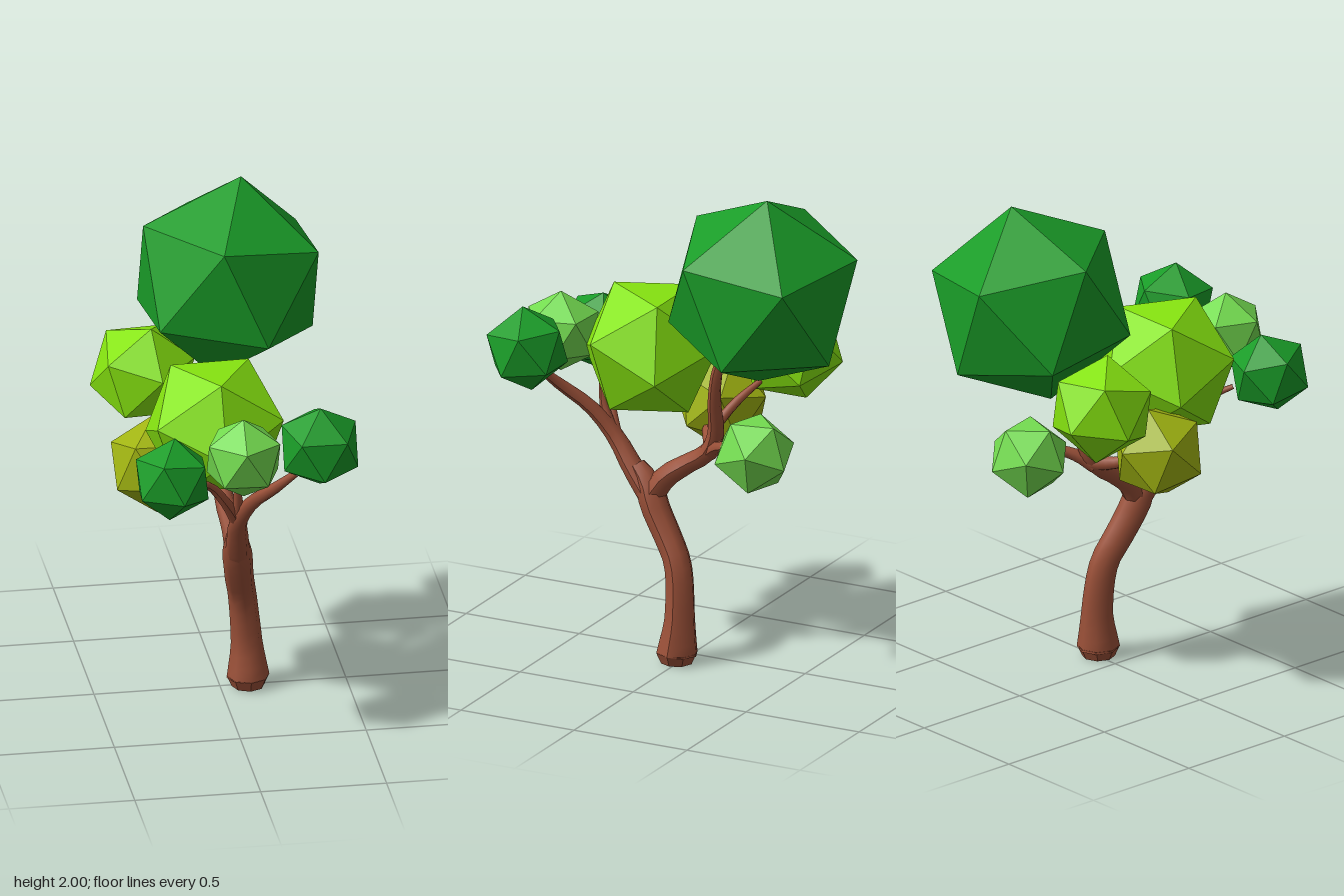
import * as THREE from 'three';

const V = (p) => new THREE.Vector3(...p);
const paint = (color, flatShading) => new THREE.MeshStandardMaterial({ color, flatShading });
const bark = paint(0x9a5038, false);
const dark = paint(0x1a9c28, true);
const lime = paint(0x86e410, true);
const olive = paint(0xa0b412, true);
const light = paint(0x74dc50, true);

// Orthonormal basis whose first axis is a and whose second leans towards b
function basis(a, b) {
  const x = a.clone().normalize();
  const y = b.clone().addScaledVector(x, -b.dot(x)).normalize();
  return new THREE.Matrix4().makeBasis(x, y, x.clone().cross(y));
}

// Icosahedral leaf clump, turned so two neighbouring corners point along a and b
function clump(name, material, centre, radius, a, b) {
  const t = (1 + Math.sqrt(5)) / 2;
  const turn = basis(V(a), V(b)).multiply(basis(V([-1, t, 0]), V([1, t, 0])).transpose());
  const geometry = new THREE.IcosahedronGeometry(radius, 0).applyMatrix4(turn);
  const mesh = new THREE.Mesh(geometry, material);
  mesh.position.set(...centre);
  mesh.name = name;
  return mesh;
}

// Tube along a smooth path whose radius follows an evenly spaced list
function limb(name, points, radii, segments = 12, sides = 8) {
  const curve = new THREE.CatmullRomCurve3(points.map(V));
  const geometry = new THREE.TubeGeometry(curve, segments, 1, sides, false);
  const pos = geometry.attributes.position;
  const v = new THREE.Vector3();
  for (let i = 0; i <= segments; i++) {
    const c = curve.getPointAt(i / segments);
    const f = (i / segments) * (radii.length - 1);
    const k = Math.min(Math.floor(f), radii.length - 2);
    const r = THREE.MathUtils.lerp(radii[k], radii[k + 1], f - k);
    for (let j = 0; j <= sides; j++) {
      const n = i * (sides + 1) + j;
      v.fromBufferAttribute(pos, n).sub(c).multiplyScalar(r).add(c);
      pos.setXYZ(n, v.x, v.y, v.z);
    }
  }
  geometry.computeVertexNormals();
  const mesh = new THREE.Mesh(geometry, bark);
  mesh.name = name;
  return mesh;
}

export function createModel() {
  const tree = new THREE.Group();
  tree.name = 'tree';

  // Trunk with a bevelled foot
  const foot = new THREE.Mesh(new THREE.CylinderGeometry(0.085, 0.065, 0.045, 8), paint(0x9a5038, true));
  foot.position.set(0.11, 0.0225, 0.01);
  foot.name = 'trunkFoot';
  tree.add(foot);
  tree.add(limb('trunk', [
    [0.11, 0.04, 0.01], [0.105, 0.2, 0.0], [0.085, 0.4, 0.02], [0.065, 0.5, 0.075],
    [0.05, 0.6, 0.135], [0.035, 0.7, 0.18], [0.03, 0.76, 0.23],
  ], [0.085, 0.063, 0.058, 0.056, 0.058, 0.06, 0.035], 16));

  // Front fork and its twigs
  tree.add(limb('frontBranch', [
    [0.045, 0.63, 0.15], [0.03, 0.75, 0.25], [0.02, 0.86, 0.33], [0.06, 0.98, 0.42],
    [0.13, 1.08, 0.52], [0.21, 1.17, 0.58],
  ], [0.05, 0.044, 0.036, 0.028, 0.024, 0.014]));
  tree.add(limb('frontLeftTwig', [
    [0.02, 0.86, 0.33], [-0.04, 0.97, 0.38], [-0.1, 1.05, 0.4], [-0.17, 1.1, 0.47],
  ], [0.03, 0.022, 0.018, 0.01], 8));
  tree.add(limb('middleTwig', [
    [0.02, 0.88, 0.345], [0.01, 0.98, 0.385], [0.0, 1.08, 0.4],
  ], [0.028, 0.018, 0.01], 6));

  // Back fork and its twigs
  tree.add(limb('backBranch', [
    [0.045, 0.64, 0.16], [0.035, 0.73, 0.1], [0.02, 0.79, 0.02], [0.02, 0.86, -0.08],
    [0.04, 0.95, -0.125], [0.08, 1.1, -0.14], [0.1, 1.22, -0.16], [0.1, 1.36, -0.2],
  ], [0.05, 0.045, 0.038, 0.037, 0.03, 0.026, 0.022, 0.012], 18));
  tree.add(limb('oliveTwig', [
    [0.03, 0.87, -0.1], [-0.05, 0.88, -0.05], [-0.13, 0.91, 0.0], [-0.2, 0.93, 0.01],
  ], [0.034, 0.026, 0.02, 0.01], 8));
  tree.add(limb('backTwig', [
    [0.02, 0.86, -0.09], [0.06, 0.9, -0.14], [0.11, 0.93, -0.21], [0.12, 0.93, -0.28],
  ], [0.032, 0.025, 0.02, 0.01], 8));
  tree.add(limb('limeTwig', [
    [0.05, 0.98, -0.125], [-0.03, 1.07, -0.18], [-0.14, 1.15, -0.25],
  ], [0.022, 0.018, 0.01], 6));

  // Foliage
  tree.add(
    clump('crownFoliage', dark, [0.09, 1.6, -0.36], 0.41, [0.06, 0.4, -0.05], [-0.34, 0.24, -0.01]),
    clump('middleFoliage', lime, [-0.055, 1.225, 0.21], 0.295, [0, 0.245, 0.165], [0.25, 0.07, 0.14]),
    clump('backLimeFoliage', lime, [-0.26, 1.24, -0.3], 0.215, [-0.05, -0.04, -0.21], [-0.2, -0.06, -0.02]),
    clump('oliveFoliage', olive, [-0.255, 0.98, 0], 0.195, [-0.17, -0.07, 0.08], [-0.17, 0.08, -0.08]),
    clump('backLightFoliage', light, [0.125, 0.93, -0.34], 0.165, [0.155, 0.03, -0.04], [0.03, 0.13, -0.1]),
    clump('frontRightFoliage', dark, [-0.28, 1.17, 0.56], 0.165, [0.015, 0.16, -0.03], [-0.15, 0.08, -0.03]),
    clump('frontMiddleFoliage', light, [0, 1.25, 0.58], 0.165, [0, 0.165, 0], [-0.08, 0.07, -0.125]),
    clump('frontLeftFoliage', dark, [0.305, 1.275, 0.57], 0.172, [0, 0.17, 0.02], [0.155, 0.07, -0.04]),
  );
  return tree;
}
